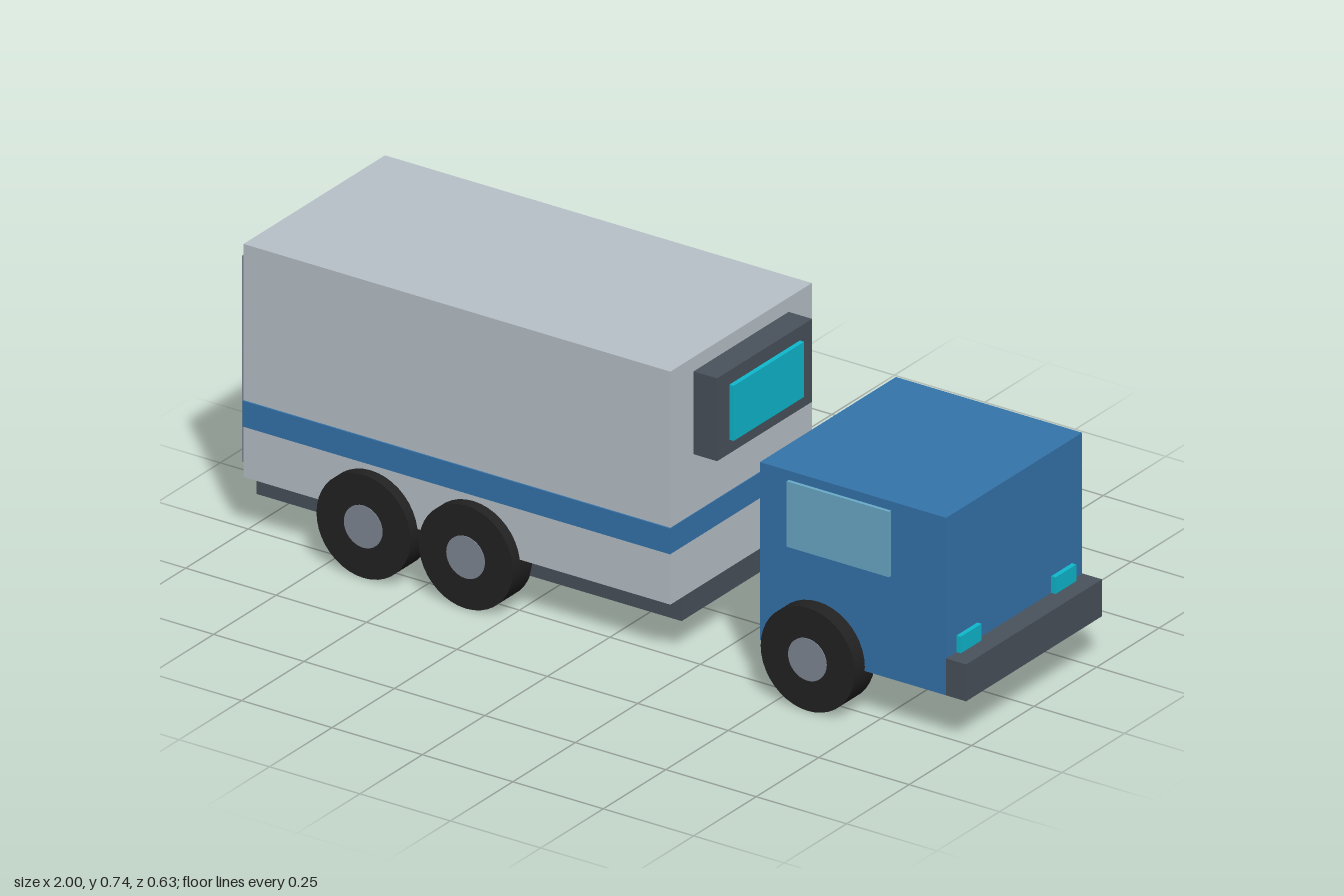
import * as THREE from 'three';

export function createModel() {
  const model = new THREE.Group();
  model.name = 'boxTruck';

  const mat = (name, color) => {
    const m = new THREE.MeshStandardMaterial({ color });
    m.name = name;
    return m;
  };
  const blue = mat('cabBlue', 0x3575ad);
  const silver = mat('bodySilver', 0xb9c2ca);
  const dark = mat('darkTrim', 0x4a525c);
  const grey = mat('midGrey', 0x7f8995);
  const cyan = mat('cyanGlow', 0x0fb8ce);
  const glass = mat('sideGlass', 0x6aabca);
  const rubber = mat('tyreBlack', 0x222222);

  // Box given by its extents along each axis
  const box = (name, material, [x0, x1], [y0, y1], [z0, z1], parent = model) => {
    const mesh = new THREE.Mesh(new THREE.BoxGeometry(x1 - x0, y1 - y0, z1 - z0), material);
    mesh.position.set((x0 + x1) / 2, (y0 + y1) / 2, (z0 + z1) / 2);
    mesh.name = name;
    parent.add(mesh);
    return mesh;
  };
  const part = (name) => {
    const g = new THREE.Group();
    g.name = name;
    model.add(g);
    return g;
  };

  // Cargo body with chassis, wrapping stripe and front display
  const cargo = part('cargoBody');
  box('chassis', dark, [-0.988, 0.188], [0.086, 0.148], [-0.235, 0.235], cargo);
  box('cargoBox', silver, [-0.99, 0.19], [0.147, 0.735], [-0.283, 0.283], cargo);
  box('stripe', blue, [-0.99, 0.192], [0.276, 0.341], [-0.287, 0.287], cargo);
  box('displayHousing', dark, [0.19, 0.255], [0.49, 0.699], [-0.19, 0.19], cargo);
  box('displayPanel', cyan, [0.255, 0.267], [0.525, 0.664], [-0.141, 0.141], cargo);

  // Cab and bumper
  const cab = part('cab');
  box('cabShell', blue, [0.43, 0.945], [0.12, 0.568], [-0.272, 0.272], cab);
  box('bumper', dark, [0.945, 1], [0.12, 0.213], [-0.272, 0.272], cab);

  // Mirrored details: rear doors, side windows and headlights
  for (const s of [1, -1]) {
    const span = (a, b) => (s > 0 ? [a, b] : [-b, -a]);
    box('rearDoor', grey, [-1, -0.99], [0.18, 0.7], span(0.006, 0.275), cargo);
    box('sideWindow', glass, [0.51, 0.793], [0.38, 0.545], span(0.272, 0.281), cab);
    box('headlight', cyan, [0.945, 0.957], [0.19, 0.255], span(0.148, 0.231), cab);
  }

  // Wheels: two rear axles and one front axle
  const tyreGeo = new THREE.CylinderGeometry(0.13, 0.13, 0.081, 40).rotateX(Math.PI / 2);
  const hubGeo = new THREE.CylinderGeometry(0.053, 0.053, 0.085, 32).rotateX(Math.PI / 2);
  for (const x of [-0.638, -0.355, 0.59]) {
    for (const s of [1, -1]) {
      const wheel = part('wheel');
      wheel.position.set(x, 0.13, s * 0.272);
      const tyre = new THREE.Mesh(tyreGeo, rubber);
      tyre.name = 'tyre';
      const hub = new THREE.Mesh(hubGeo, grey);
      hub.name = 'hub';
      wheel.add(tyre, hub);
    }
  }

  return model;
}
